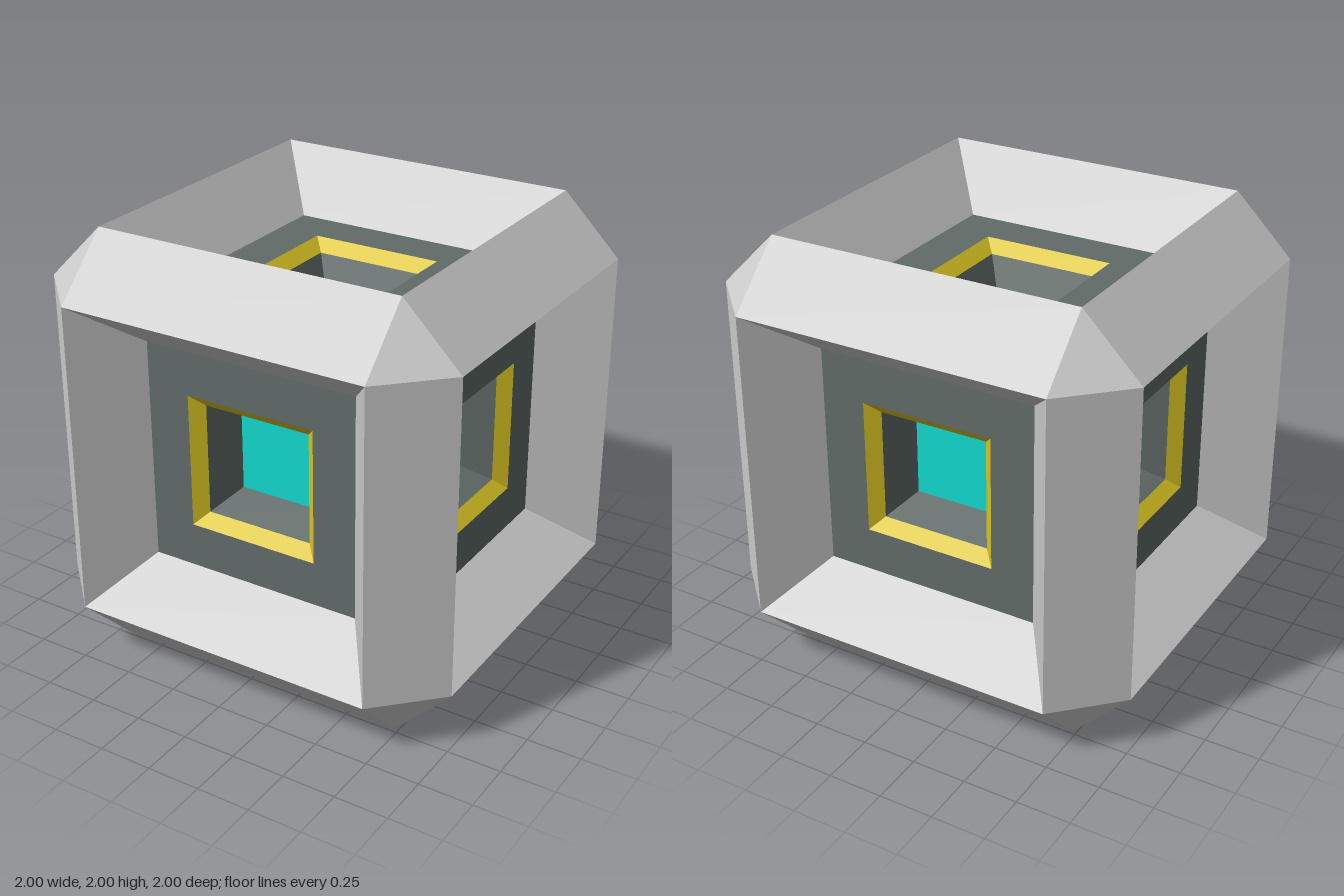
import * as THREE from 'three';

const EDGE = 0.73; // half width of a face opening; the rest is chamfer
const PANEL = 0.52, PANEL_Z = 0.715;
const RIM = 0.315, RIM_IN = 0.26, RIM_Z = 0.66;
const CORE = 0.19, CORE_Z = 0.5;

const material = (color) => new THREE.MeshStandardMaterial({ color, flatShading: true });
const frameMat = material(0xcccccc);
const panelMat = material(0x606b68);
const rimMat = material(0xd9c322);
const coreMat = material(0x12d8cc);

// Flat-shaded geometry from convex polygons, corners counter-clockwise
function facets(polygons) {
  const pos = [];
  for (const p of polygons)
    for (let i = 1; i < p.length - 1; i++) pos.push(...p[0], ...p[i], ...p[i + 1]);
  const g = new THREE.BufferGeometry();
  g.setAttribute('position', new THREE.Float32BufferAttribute(pos, 3));
  g.computeVertexNormals();
  return g;
}

// Square ring facing +z, from half width r1 at z1 inward to r2 at z2
function ring(r1, z1, r2, z2) {
  const c = [[-1, -1], [1, -1], [1, 1], [-1, 1]];
  return facets(c.map((a, i) => {
    const b = c[(i + 1) % 4];
    return [
      [a[0] * r1, a[1] * r1, z1], [b[0] * r1, b[1] * r1, z1],
      [b[0] * r2, b[1] * r2, z2], [a[0] * r2, a[1] * r2, z2],
    ];
  }));
}

function add(parent, name, geometry, mat) {
  const mesh = new THREE.Mesh(geometry, mat);
  mesh.name = name;
  parent.add(mesh);
  return mesh;
}

export function createModel() {
  const model = new THREE.Group();
  model.name = 'chamferedCube';
  const cube = new THREE.Group();
  cube.name = 'cube';
  cube.position.y = 1;
  model.add(cube);

  // Six identical recessed faces
  const geos = {
    frameSlope: ring(EDGE, 1, PANEL, PANEL_Z),
    panel: ring(PANEL, PANEL_Z, RIM, PANEL_Z),
    rim: ring(RIM, PANEL_Z, RIM_IN, RIM_Z),
    socket: ring(RIM_IN, RIM_Z, CORE, CORE_Z),
    core: new THREE.PlaneGeometry(2 * CORE, 2 * CORE).translate(0, 0, CORE_Z),
  };
  const q = Math.PI / 2;
  const turns = {
    front: [0, 0], left: [0, q], back: [0, 2 * q], right: [0, -q], top: [-q, 0], bottom: [q, 0],
  };
  for (const [side, [rx, ry]] of Object.entries(turns)) {
    const face = new THREE.Group();
    face.name = side + 'Face';
    face.rotation.set(rx, ry, 0);
    add(face, 'frameSlope', geos.frameSlope, frameMat);
    add(face, 'panel', geos.panel, panelMat);
    add(face, 'rim', geos.rim, rimMat);
    add(face, 'socket', geos.socket, panelMat);
    add(face, 'core', geos.core, coreMat);
    cube.add(face);
  }

  // Twelve chamfered edges: four around each axis
  const strip = facets([[[-EDGE, EDGE, 1], [EDGE, EDGE, 1], [EDGE, 1, EDGE], [-EDGE, 1, EDGE]]]);
  for (const [ry, rz] of [[0, 0], [q, 0], [0, q]]) {
    const edges = new THREE.Group();
    edges.name = 'edgeChamfers';
    edges.rotation.set(0, ry, rz);
    for (let i = 0; i < 4; i++) add(edges, 'edgeChamfer', strip, frameMat).rotation.x = i * q;
    cube.add(edges);
  }

  // Eight corner triangles
  const corners = [];
  for (const x of [-1, 1]) for (const y of [-1, 1]) for (const z of [-1, 1]) {
    const t = [[x, y * EDGE, z * EDGE], [x * EDGE, y, z * EDGE], [x * EDGE, y * EDGE, z]];
    corners.push(x * y * z > 0 ? t : t.reverse());
  }
  add(cube, 'cornerChamfers', facets(corners), frameMat);

  return model;
}
